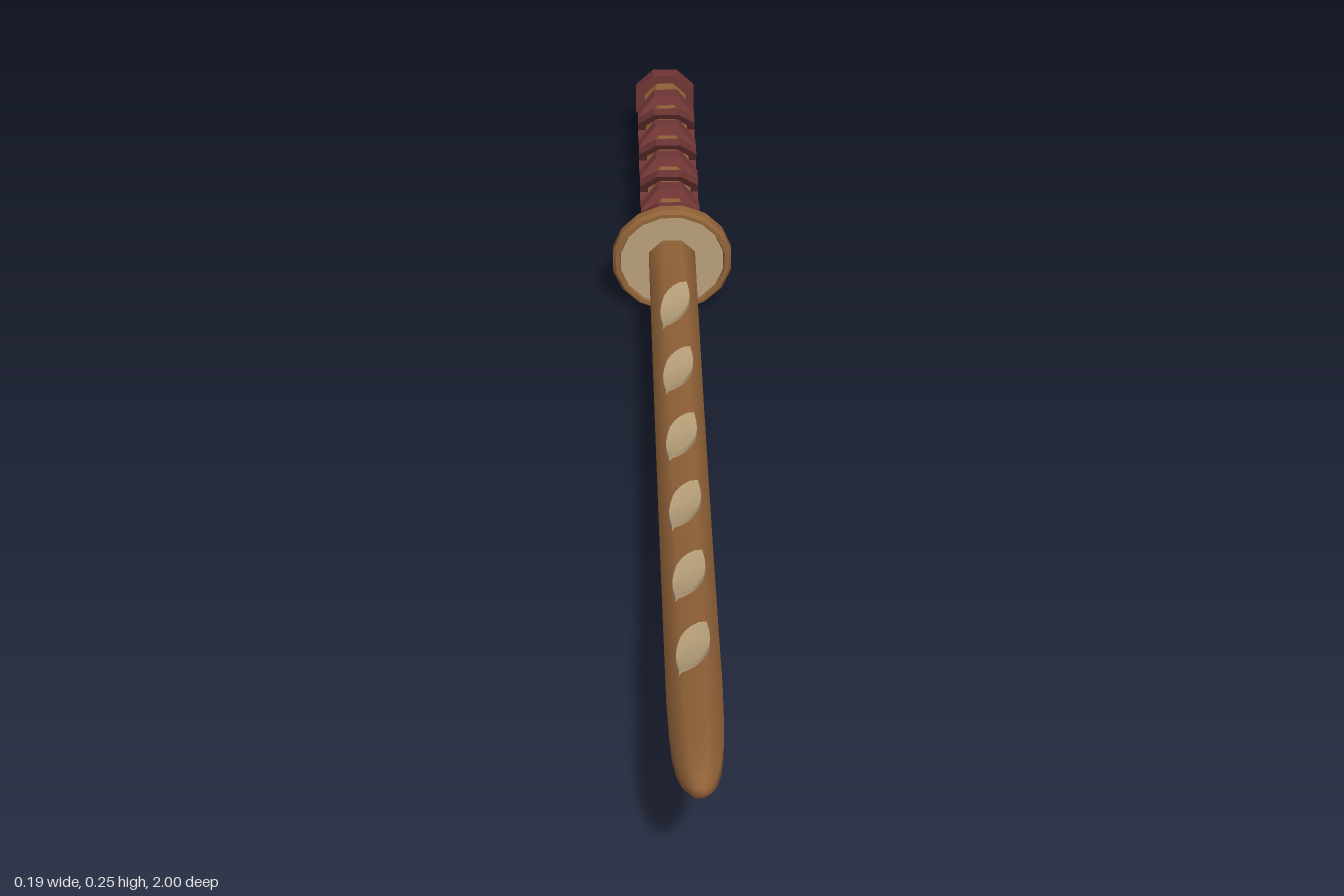
import * as THREE from 'three';
import { mergeVertices, toCreasedNormals } from 'three/addons/utils/BufferGeometryUtils.js';

const AXIS_Y = 0.097;
const GUARD_Z = -0.438;

// Height of the blade's centre line
const curveY = z => AXIS_Y + 0.068 * Math.max(0, z + 0.43) ** 2;

// Lathe along z with flats facing the axes; points are [radius, z]
function turned(points, sides) {
  const g = new THREE.LatheGeometry(points.map(p => new THREE.Vector2(p[0], p[1])), sides, Math.PI / sides);
  return g.rotateX(Math.PI / 2);
}

// Square-edged ring
function band(inner, outer, half, sides = 8) {
  return turned([[inner, -half], [outer, -half], [outer, half], [inner, half], [inner, -half]], sides);
}

// Move every vertex by a rule
function deform(g, rule) {
  const p = g.attributes.position;
  const v = new THREE.Vector3();
  for (let i = 0; i < p.count; i++) {
    rule(v.fromBufferAttribute(p, i));
    p.setXYZ(i, v.x, v.y, v.z);
  }
  return g;
}

function smooth(g) {
  g.deleteAttribute('normal');
  g.deleteAttribute('uv');
  const m = mergeVertices(g, 1e-5);
  m.computeVertexNormals();
  return m;
}

export function createModel() {
  const group = new THREE.Group();
  const wood = new THREE.MeshStandardMaterial({ color: 0x916238 });
  wood.name = 'brown wood';
  const pale = new THREE.MeshStandardMaterial({ color: 0xb8a07a });
  pale.name = 'pale wood';
  const cord = new THREE.MeshStandardMaterial({ color: 0x6e3534 });
  cord.name = 'dark red wrap';

  function add(name, geometry, material, y = 0, z = 0) {
    const mesh = new THREE.Mesh(geometry, material);
    mesh.name = name;
    mesh.position.set(0, y, z);
    group.add(mesh);
    return mesh;
  }

  // Curved octagonal blade with a rounded tip
  const profile = [];
  for (let i = 0; i <= 12; i++) profile.push([0.04, -0.44 + i * 0.1]);
  profile.push([0.0385, 0.84], [0.036, 0.9], [0.031, 0.945], [0.024, 0.975], [0.016, 0.993], [0.008, 1], [0, 1]);
  const blade = deform(turned(profile, 8), v => { v.y += curveY(v.z); });
  add('blade', smooth(blade), wood);

  // Slanted pale leaves along the back of the blade
  const leaf = new THREE.Shape();
  leaf.moveTo(0.02, 0.062);
  leaf.bezierCurveTo(-0.012, 0.05, -0.032, 0.0, -0.02, -0.062);
  leaf.bezierCurveTo(0.012, -0.05, 0.032, 0.0, 0.02, 0.062);
  for (let i = 0; i < 6; i++) {
    const z = -0.24 + i * 0.188;
    const g = new THREE.ExtrudeGeometry(leaf, { depth: 0.014, bevelEnabled: false, curveSegments: 8 });
    g.rotateX(-Math.PI / 2).translate(0, 0.03, z);
    deform(g, v => { v.y += curveY(v.z) - 0.6 * Math.max(0, Math.abs(v.x) - 0.0155); });
    add('bladeLeaf', toCreasedNormals(g, 0.6), pale);
  }

  // Guard: pale disc in a bevelled wooden rim
  const disc = turned([[0, -0.008], [0.087, -0.008], [0.087, 0.008], [0, 0.008]], 16);
  add('guardDisc', toCreasedNormals(disc, 0.6), pale, 0.0952, GUARD_Z);
  const rim = turned([
    [0.083, -0.006], [0.086, -0.013], [0.092, -0.013], [0.097, -0.007],
    [0.097, 0.007], [0.092, 0.013], [0.086, 0.013], [0.083, 0.006],
  ], 16);
  add('guardRim', toCreasedNormals(rim, 0.6), wood, 0.0952, GUARD_Z);

  // Handle with a tapered end
  const handle = turned([[0, -1], [0.018, -1], [0.028, -0.985], [0.034, -0.96], [0.038, -0.93], [0.038, -0.44]], 8);
  add('handle', toCreasedNormals(handle, 0.6), wood, AXIS_Y);

  // Collars at both ends of the wrap
  add('frontCollar', toCreasedNormals(band(0.034, 0.054, 0.015), 0.4), cord, AXIS_Y, -0.472);
  add('endCollar', toCreasedNormals(band(0.03, 0.054, 0.011), 0.4), cord, AXIS_Y, -0.945);

  // Four crossings, each made of two oppositely slanted bands
  for (let i = 0; i < 4; i++) {
    for (const slant of [-0.65, 0.65]) {
      const g = deform(band(0.036, 0.052, 0.011), v => { v.z += v.y * slant; });
      add('crossWrap', toCreasedNormals(g, 0.4), cord, AXIS_Y, -0.548 - i * 0.1);
    }
  }

  return group;
}
